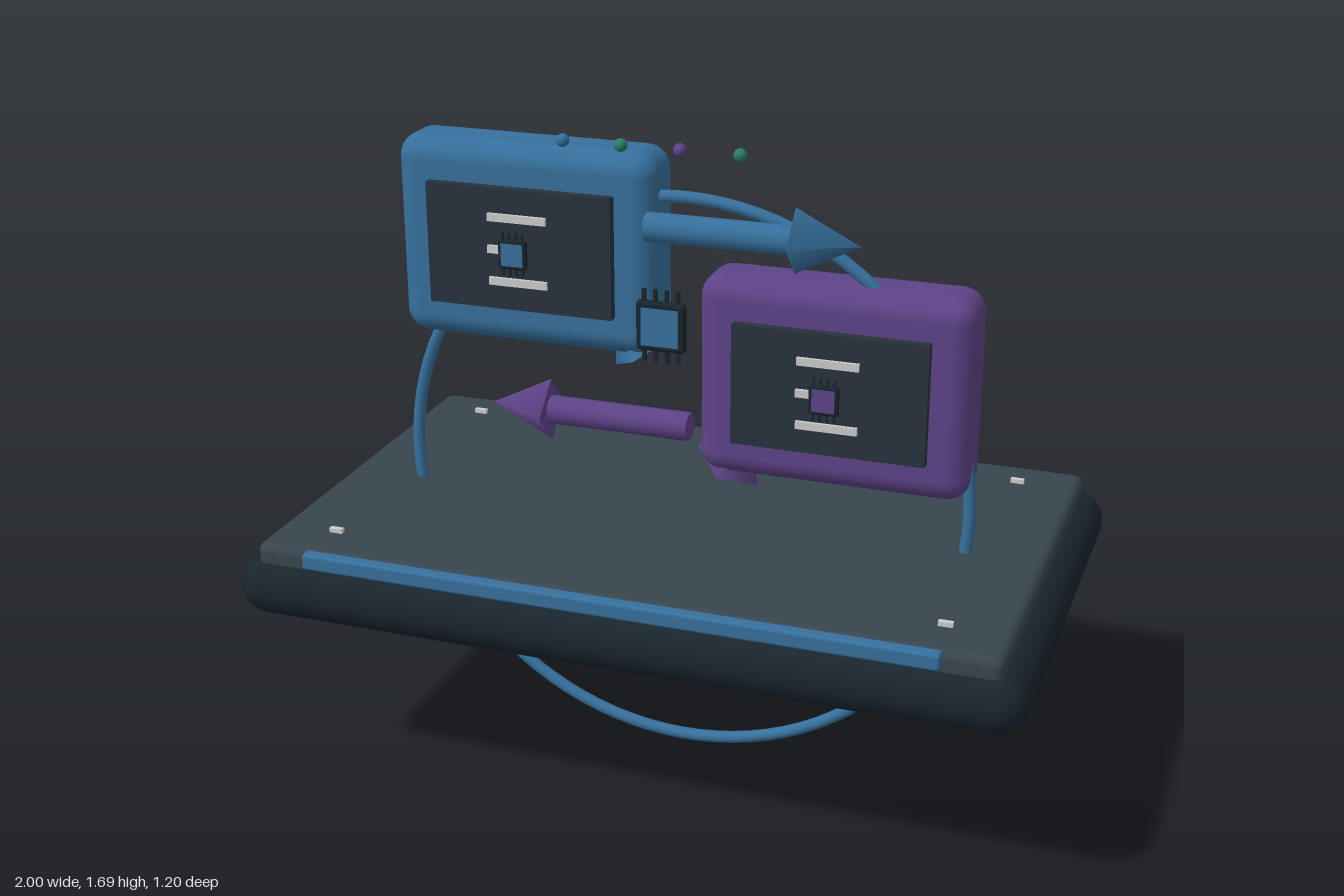
import * as THREE from 'three';
import { RoundedBoxGeometry } from 'three/addons/geometries/RoundedBoxGeometry.js';

const mat = (color) => new THREE.MeshStandardMaterial({ color });
const BLUE = mat(0x36709c), PURPLE = mat(0x5e4388), GREEN = mat(0x2b7d68);
const BLACK = mat(0x19242c), SLATE = mat(0x38454e), SCREEN = mat(0x28323c), LIGHT = mat(0xcccccc);

function add(parent, name, geometry, material, x = 0, y = 0, z = 0) {
  const mesh = new THREE.Mesh(geometry, material);
  mesh.name = name;
  mesh.position.set(x, y, z);
  parent.add(mesh);
  return mesh;
}
const box = (w, h, d) => new THREE.BoxGeometry(w, h, d);
const rounded = (w, h, d, r) => new RoundedBoxGeometry(w, h, d, 5, r);

function group(parent, name, x, y, z) {
  const g = new THREE.Group();
  g.name = name;
  g.position.set(x, y, z);
  parent.add(g);
  return g;
}

// Square chip with a coloured face and four pins above and below
function chip(parent, name, material, x, y, z, scale) {
  const g = group(parent, name, x, y, z);
  g.scale.setScalar(scale);
  add(g, 'chipBody', rounded(0.125, 0.125, 0.026, 0.01), BLACK);
  add(g, 'chipFace', box(0.095, 0.095, 0.008), material, 0, 0, 0.012);
  for (const side of [-1, 1])
    for (let i = 0; i < 4; i++)
      add(g, 'chipPin', box(0.009, 0.03, 0.008), BLACK, (i - 1.5) * 0.029, side * 0.077, 0);
}

// Rounded panel with screen, text bars, small chip and a tail below
function panel(parent, name, material, x, y, side) {
  const g = group(parent, name, x, y, 0);
  add(g, 'panelBody', rounded(0.69, 0.52, 0.18, 0.06), material);
  add(g, 'screen', box(0.49, 0.31, 0.025), SCREEN, 0, 0, 0.104);
  for (const s of [-1, 1])
    add(g, 'screenBar', box(0.155, 0.02, 0.01), LIGHT, 0, s * 0.082, 0.12);
  add(g, 'screenMark', box(0.045, 0.02, 0.01), LIGHT, -0.057, 0, 0.12);
  chip(g, 'screenChip', material, 0, 0, 0.148, 0.6);
  const tail = add(g, 'panelTail', new THREE.ConeGeometry(0.09, 0.155, 4), material,
    side * 0.25, -0.2, 0);
  tail.rotation.z = side * Math.PI / 6;
}

// Arrow along x; dir gives the way it points
function arrow(parent, name, material, y, dir) {
  const g = group(parent, name, 0, y, 0.129);
  const shaft = add(g, 'arrowShaft', new THREE.CylinderGeometry(0.036, 0.036, 0.37, 16), material, dir * 0.13);
  const head = add(g, 'arrowHead', new THREE.ConeGeometry(0.081, 0.16, 4), material, dir * 0.395);
  shaft.rotation.z = head.rotation.z = -dir * Math.PI / 2;
}

export function createModel() {
  const model = new THREE.Group();
  model.name = 'exchangeDisplay';

  // Platform
  add(model, 'base', rounded(2, 0.157, 1.2, 0.078), BLACK, 0, 0.557, 0);
  add(model, 'topPlate', rounded(1.88, 0.075, 1.12, 0.025), SLATE, 0, 0.64, 0);
  add(model, 'frontStrip', rounded(1.6, 0.042, 0.035, 0.008), BLUE, 0, 0.657, 0.567);
  for (const x of [-0.78, 0.78])
    for (const z of [-0.44, 0.435])
      add(model, 'platePad', box(0.035, 0.016, 0.014), LIGHT, x, 0.681, z);

  // Ring passing through the platform
  add(model, 'ring', new THREE.TorusGeometry(0.744, 0.016, 12, 96), BLUE, 0, 0.767, 0.027);

  // Two facing panels, the link chip and the arrows
  panel(model, 'rightPanel', BLUE, -0.4, 1.36, 1);
  panel(model, 'leftPanel', PURPLE, 0.4, 1.077, -1);
  chip(model, 'linkChip', BLUE, 0, 1.23, 0.183, 1);
  arrow(model, 'upperArrow', BLUE, 1.46, 1);
  arrow(model, 'lowerArrow', PURPLE, 0.957, -1);

  // Row of floating dots
  [BLUE, GREEN, PURPLE, GREEN].forEach((m, i) =>
    add(model, 'dot', new THREE.SphereGeometry(0.016, 16, 12), m, -0.22 + i * 0.145, 1.684, 0.245));

  return model;
}
